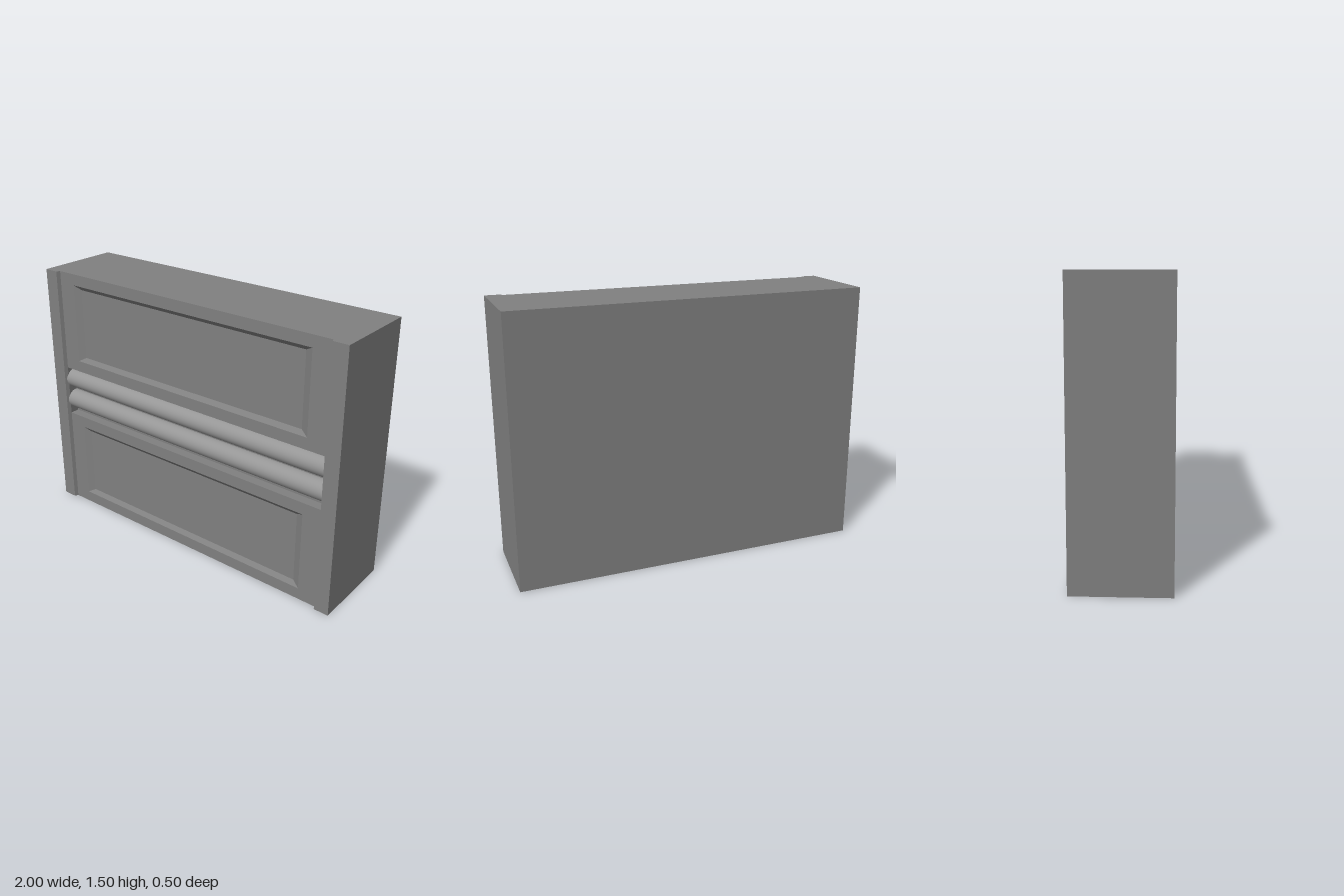
import * as THREE from 'three';

const pipeMaterial = new THREE.MeshStandardMaterial({ color: 0x969696 });
const wallMaterial = new THREE.MeshStandardMaterial({ color: 0x808080, flatShading: true });

const FLOOR = 0.175; // depth of the centre channel
const FACE = 0.23; // front of the panels
const INNER = 0.905; // half width between the stiles

// Nested rectangles [halfWidth, bottom, top, z], joined outward to inward and capped
function rectLoft(rings) {
  const corners = rings.map(([w, b, t, z]) => [[-w, b, z], [w, b, z], [w, t, z], [-w, t, z]]);
  const pos = [];
  const quad = (a, b, c, d) => pos.push(...a, ...b, ...c, ...a, ...c, ...d);
  for (let r = 0; r < corners.length - 1; r++) {
    for (let i = 0; i < 4; i++) {
      const j = (i + 1) % 4;
      quad(corners[r][i], corners[r][j], corners[r + 1][j], corners[r + 1][i]);
    }
  }
  quad(...corners[corners.length - 1]);
  const geo = new THREE.BufferGeometry();
  geo.setAttribute('position', new THREE.Float32BufferAttribute(pos, 3));
  geo.computeVertexNormals();
  return geo;
}

export function createModel() {
  const group = new THREE.Group();
  const add = (name, geo, mat) => {
    const mesh = new THREE.Mesh(geo, mat);
    mesh.name = name;
    group.add(mesh);
    return mesh;
  };

  // Wall block with a raised stile at each side, from its plan outline
  const plan = [
    [-1, 0.25], [-0.915, 0.25], [-INNER, FACE], [-INNER, FLOOR],
    [INNER, FLOOR], [INNER, FACE], [0.915, 0.25], [1, 0.25], [1, -0.25], [-1, -0.25],
  ];
  const shape = new THREE.Shape(plan.map(([x, z]) => new THREE.Vector2(x, -z)));
  const body = new THREE.ExtrudeGeometry(shape, { depth: 1.5, bevelEnabled: false });
  body.rotateX(-Math.PI / 2);
  add('wallBlockWithStiles', body, wallMaterial);

  // Upper and lower panels, each with a bevelled sunken field
  const panels = [
    ['lowerPanel', 0, 0.6, 0.067, 0.532],
    ['upperPanel', 0.903, 1.5, 0.97, 1.435],
  ];
  for (const [name, bottom, top, low, high] of panels) {
    add(name, rectLoft([
      [INNER, bottom, top, FLOOR],
      [INNER, bottom, top, FACE],
      [0.8, low, high, FACE],
      [0.755, low + 0.025, high - 0.025, FACE - 0.02],
    ]), wallMaterial);
  }

  // Two horizontal pipes in the centre channel
  for (const [name, y] of [['lowerPipe', 0.688], ['upperPipe', 0.825]]) {
    const pipe = new THREE.CylinderGeometry(0.058, 0.058, 1.84, 32);
    pipe.rotateZ(Math.PI / 2);
    add(name, pipe, pipeMaterial).position.set(0, y, 0.182);
  }

  return group;
}
